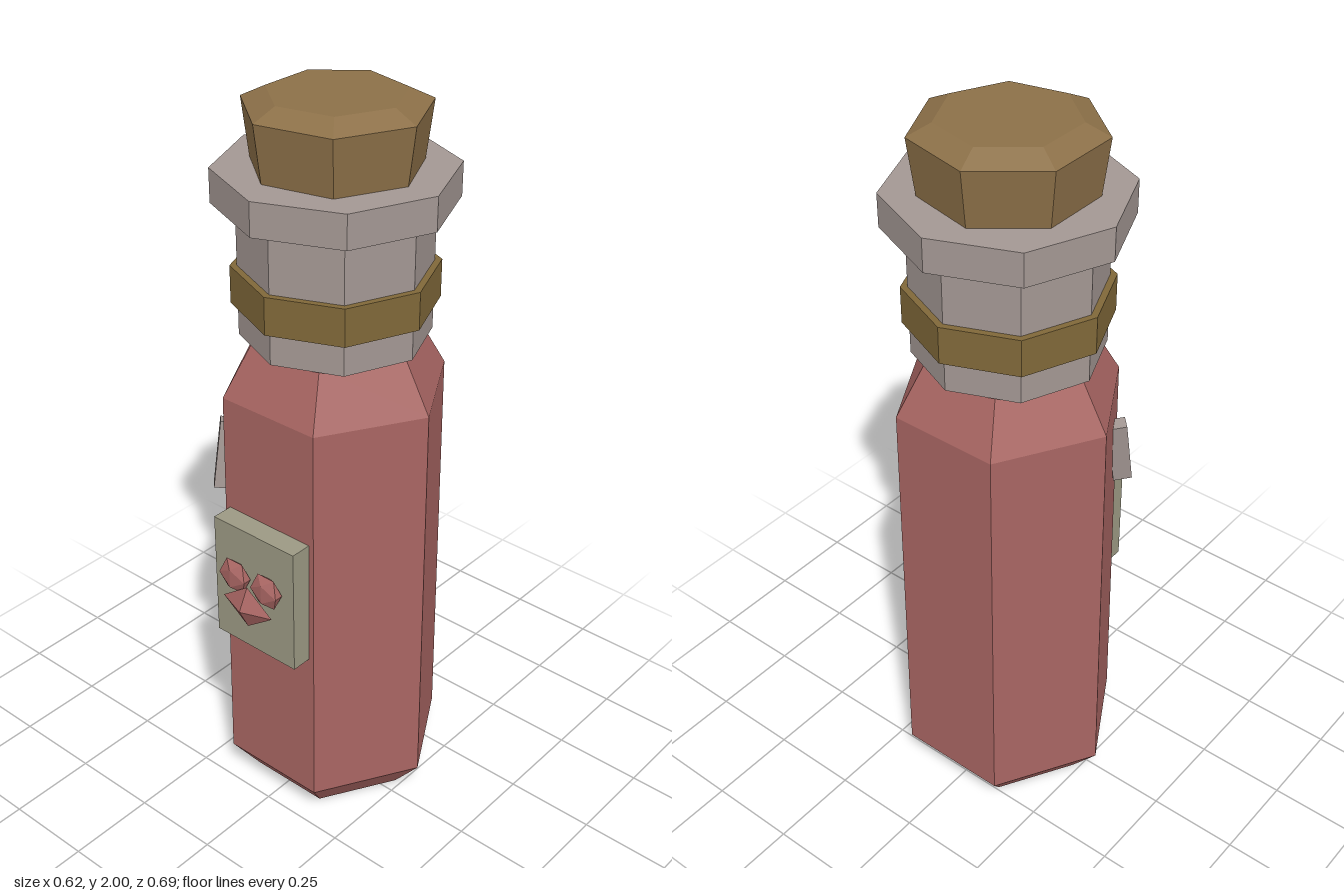
import * as THREE from 'three';

const AXIS_Z = -0.04; // the bottle's axis; the label sticks out in front of it

const paint = (color) => new THREE.MeshStandardMaterial({ color, flatShading: true });

export function createModel() {
  const group = new THREE.Group();
  const red = paint(0xa86562);
  const glass = paint(0xa39793);
  const cork = paint(0x8c7048);
  const brass = paint(0x806839);
  const paper = paint(0x9c9983);

  const add = (name, geometry, material, x, y, z) => {
    const mesh = new THREE.Mesh(geometry, material);
    mesh.name = name;
    mesh.position.set(x, y, z);
    group.add(mesh);
    return mesh;
  };

  // Faceted solid of revolution from [radius, height] pairs, closed at both ends
  const turned = (name, profile, sides, start, material) => {
    const closed = [[0, profile[0][1]], ...profile, [0, profile[profile.length - 1][1]]];
    const points = closed.map(([r, y]) => new THREE.Vector2(r, y));
    return add(name, new THREE.LatheGeometry(points, sides, start), material, 0, 0, AXIS_Z);
  };

  // Six-sided body with a flat front
  turned('body', [[0.232, 0], [0.31, 0.095], [0.302, 1.24], [0.22, 1.385]], 6, Math.PI / 2, red);

  // Eight-sided neck, lip and band
  turned('neck', [[0.245, 1.38], [0.245, 1.74]], 8, 0, glass);
  turned('lip', [[0.245, 1.72], [0.305, 1.733], [0.305, 1.822]], 8, 0, glass);
  turned('neckBand', [[0.263, 1.467], [0.263, 1.568]], 8, 0, brass);

  // Seven-sided stopper with a bevelled top
  turned('stopper', [[0.215, 1.8], [0.237, 1.97], [0.175, 2]], 7, Math.PI / 2, cork);

  // Label with a raised heart made of two lobes and a point
  add('label', new THREE.BoxGeometry(0.274, 0.362, 0.065), paper, 0, 0.738, 0.251);
  for (const side of [-1, 1]) {
    const lobe = add('heartLobe', new THREE.IcosahedronGeometry(0.052), red, side * 0.055, 0.778, 0.298);
    lobe.scale.z = 0.45;
  }
  const point = add('heartPoint', new THREE.OctahedronGeometry(1), red, 0, 0.71, 0.311);
  point.scale.set(0.085, 0.062, 0.031);

  // Sliver of shine leaning against the front right side
  const shine = add('shine', new THREE.BoxGeometry(0.038, 0.19, 0.05), glass, -0.203, 1.032, 0.163);
  shine.rotation.set(-0.18, -Math.PI / 4, 0);

  return group;
}
